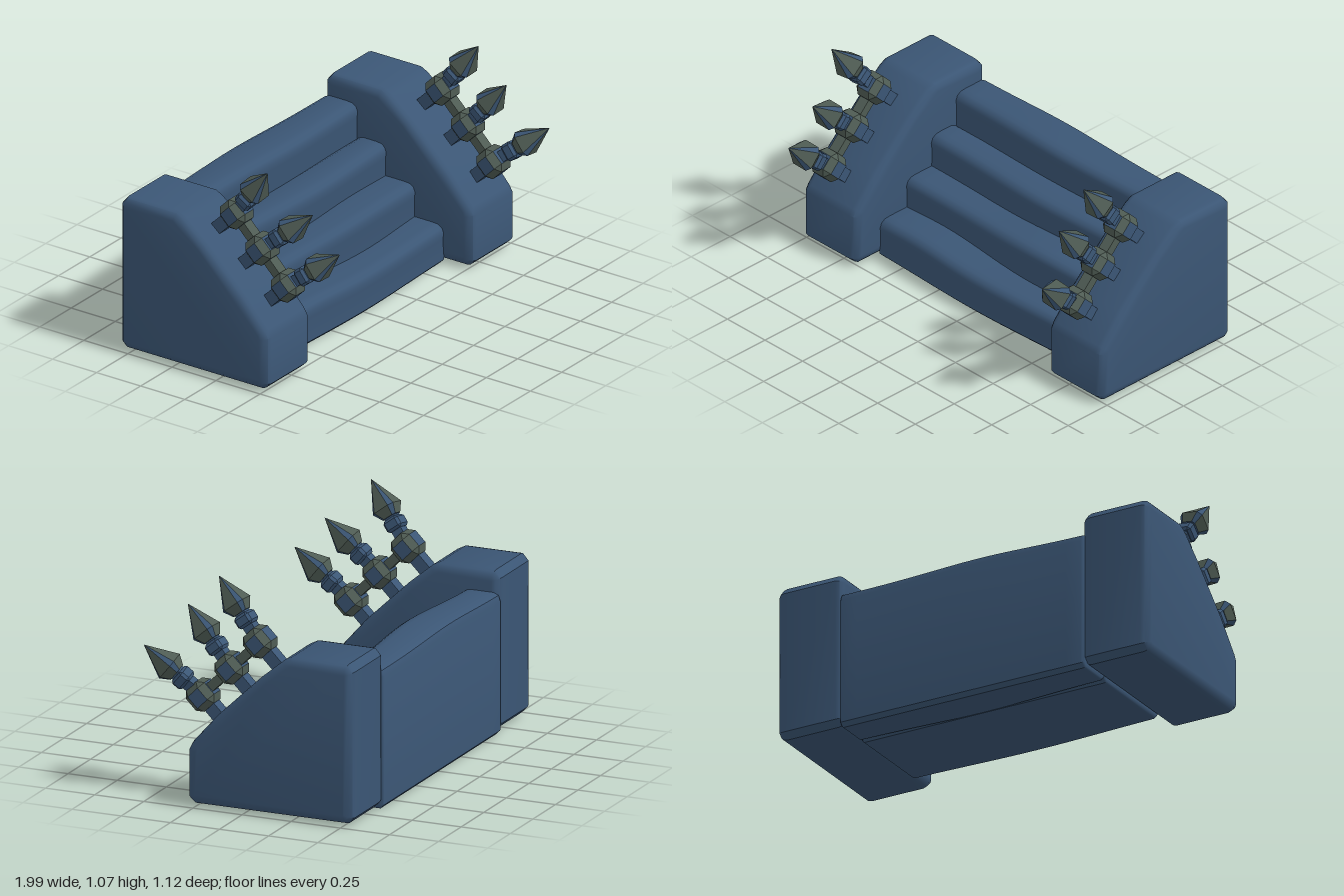
import * as THREE from 'three';
import { toCreasedNormals } from 'three/addons/utils/BufferGeometryUtils.js';
import { ConvexGeometry } from 'three/addons/geometries/ConvexGeometry.js';

const V = (x, y, z) => new THREE.Vector3(x, y, z);

function named(name, geometry, material) {
  const mesh = new THREE.Mesh(geometry, material);
  mesh.name = name;
  return mesh;
}

// Extrudes a (z, y) outline along x, centred on x = 0, with bevelled ends
function slab(outline, width, bevel, steps = 1) {
  const shape = new THREE.Shape(outline.map(([z, y]) => new THREE.Vector2(z, y)));
  const g = new THREE.ExtrudeGeometry(shape, {
    depth: width - 2 * bevel, steps, bevelEnabled: true,
    bevelSize: bevel, bevelThickness: bevel, bevelOffset: -bevel, bevelSegments: 3,
  });
  g.translate(0, 0, bevel - width / 2);
  return g.rotateY(-Math.PI / 2);
}

// Gives each triangle material 0 or 1 according to its normal
function twoTone(geometry, isTrim) {
  const n = geometry.attributes.normal;
  for (let i = 0; i < n.count; i += 3) {
    geometry.addGroup(i, 3, isTrim(V(n.getX(i), n.getY(i), n.getZ(i))) ? 1 : 0);
  }
  return geometry;
}

// Cube with cut edges: plain faces, trim-coloured chamfers
function chamferedBox(w, h, d, c) {
  const pts = [];
  for (const x of [-1, 1]) for (const y of [-1, 1]) for (const z of [-1, 1]) {
    const [a, b, e] = [w / 2, h / 2, d / 2];
    pts.push(V(x * a, y * (b - c), z * (e - c)), V(x * (a - c), y * b, z * (e - c)), V(x * (a - c), y * (b - c), z * e));
  }
  return twoTone(new ConvexGeometry(pts),
    (n) => Math.max(Math.abs(n.x), Math.abs(n.y), Math.abs(n.z)) < 0.99);
}

// Spear head: broad trim facets with narrow plain facets between them
function spearHeadGeometry() {
  const pts = [V(0, 0.36, 0)];
  for (const [y, r] of [[0.16, 0.045], [0.205, 0.074]]) {
    for (let k = 0; k < 4; k++) for (const s of [-0.58, 0.58]) {
      const a = k * Math.PI / 2 + s;
      pts.push(V(Math.cos(a) * r, y, Math.sin(a) * r));
    }
  }
  return twoTone(new ConvexGeometry(pts), (n) =>
    n.y > -0.95 && Math.max(Math.abs(n.x), Math.abs(n.z)) > 0.85 * Math.hypot(n.x, n.z));
}

export function createModel() {
  const model = new THREE.Group();
  model.name = 'staircase';
  const stone = new THREE.MeshStandardMaterial({ color: 0x3b5675 });
  stone.name = 'blue stone';
  const metal = new THREE.MeshStandardMaterial({ color: 0x4f5c54 });
  metal.name = 'aged olive metal';
  const both = [stone, metal];

  // Sloping side walls
  const wallOutline = [[-0.525, 0.02], [0.25, 0.02], [0.283, 0.05], [0.283, 0.285], [0.265, 0.318], [0.14, 0.46],
    [-0.08, 0.67], [-0.2, 0.77], [-0.24, 0.79], [-0.525, 0.79], [-0.555, 0.755], [-0.555, 0.05]];
  const wallGeometry = toCreasedNormals(slab(wallOutline, 0.355, 0.04), 0.65);
  for (const side of [-1, 1]) {
    const wall = named(side > 0 ? 'leftWall' : 'rightWall', wallGeometry, stone);
    wall.position.x = side * 0.8175;
    model.add(wall);
  }

  // Worn steps: each a full-height block whose top and front edges wander
  const bump = (x, centre, w) => Math.exp(-(((x - centre) / w) ** 2));
  const steps = [
    { front: 0.12, top: 0.2, back: -0.37, fz: (x) => 0.026 * bump(x, 0, 0.5), fy: (x) => 0.015 * bump(x, -0.38, 0.25) },
    { front: -0.045, top: 0.36, back: -0.37, fz: (x) => 0.032 * bump(x, 0.22, 0.35), fy: (x) => 0.02 * bump(x, 0.27, 0.3) },
    { front: -0.205, top: 0.525, back: -0.37, fz: (x) => 0.025 * bump(x, 0.1, 0.4), fy: () => 0 },
    { front: -0.365, top: 0.687, back: -0.56, fz: (x) => 0.03 * bump(x, 0, 0.4), fy: (x) => 0.016 * bump(x, -0.1, 0.35) },
  ];
  steps.forEach(({ front, top, back, fz, fy }, i) => {
    const outline = [[back + 0.02, 0.005], [front - 0.02, 0.005], [front, 0.025], [front - 0.004, top - 0.07],
      [front, top - 0.04], [front - 0.01, top - 0.016], [front - 0.03, top - 0.003], [front - 0.06, top],
      [back + 0.035, top], [back + 0.01, top - 0.012], [back, top - 0.04], [back, 0.025]];
    const g = slab(outline, 1.31, 0.015, 16);
    const p = g.attributes.position;
    for (let k = 0; k < p.count; k++) {
      const x = p.getX(k);
      if (p.getZ(k) > front - 0.08) p.setZ(k, p.getZ(k) + fz(x));
      if (p.getY(k) > top - 0.08) p.setY(k, p.getY(k) + fy(x));
    }
    model.add(named('step' + (i + 1), toCreasedNormals(g, 0.7), stone));
  });

  // Railings: posts, joints, rails and leaning spears
  const nodeGeometry = chamferedBox(0.13, 0.13, 0.13, 0.03);
  const postGeometry = new THREE.BoxGeometry(0.062, 0.22, 0.062);
  const railGeometry = new THREE.BoxGeometry(0.055, 0.42, 0.045);
  const neckGeometry = new THREE.BoxGeometry(0.055, 0.15, 0.055);
  const collarGeometry = chamferedBox(0.09, 0.06, 0.085, 0.012);
  const headGeometry = spearHeadGeometry();
  const nodes = [[0.5, 0.28], [0.65, 0.135], [0.795, -0.01]];
  const tips = {
    '-1': [V(-0.8, 0.725, 0.56), V(-0.8, 0.88, 0.4), V(-0.88, 1.08, 0.21)],
    '1': [V(0.88, 0.72, 0.55), V(0.8, 0.92, 0.365), V(0.8, 1.08, 0.21)],
  };
  for (const side of [-1, 1]) {
    const railing = new THREE.Group();
    railing.name = side > 0 ? 'leftRailing' : 'rightRailing';
    nodes.forEach(([y, z], i) => {
      const at = V(side * 0.82, y, z);
      const joint = new THREE.Group();
      joint.name = 'joint' + (i + 1);
      joint.position.copy(at);
      joint.rotation.x = Math.PI / 4;
      const post = named('post', postGeometry, stone);
      post.position.y = -0.1;
      joint.add(named('jointBlock', nodeGeometry, both), post);

      const spear = new THREE.Group();
      spear.name = 'spear' + (i + 1);
      spear.position.copy(at);
      spear.quaternion.setFromUnitVectors(V(0, 1, 0), tips[side][i].clone().sub(at).normalize());
      const neck = named('spearNeck', neckGeometry, stone);
      neck.position.y = 0.1;
      const collar = named('spearCollar', collarGeometry, stone);
      collar.position.y = 0.122;
      spear.add(neck, collar, named('spearHead', headGeometry, both));
      railing.add(joint, spear);
    });
    const rail = named('rail', railGeometry, metal);
    rail.position.set(side * 0.82, 0.6475, 0.135);
    rail.rotation.x = -Math.PI / 4;
    railing.add(rail);
    model.add(railing);
  }
  return model;
}
